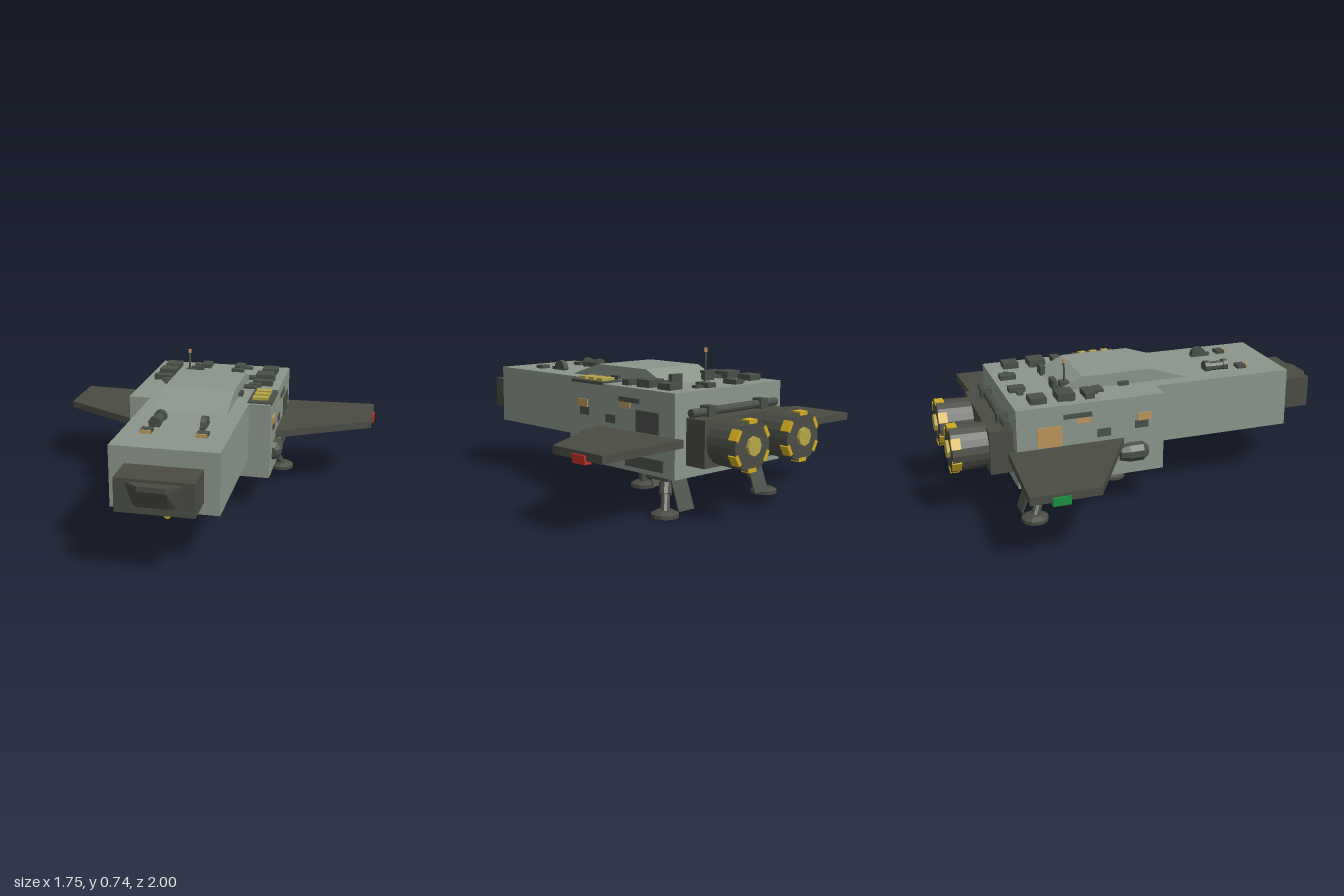
import * as THREE from 'three';
import { ConvexGeometry } from 'three/addons/geometries/ConvexGeometry.js';

const paint = (name, color) => {
  const m = new THREE.MeshStandardMaterial({ color, flatShading: true });
  m.name = name;
  return m;
};

export function createModel() {
  const hullGrey = paint('hull grey', 0x8a958a);
  const dark = paint('dark olive', 0x4a4c44);
  const equip = paint('equipment grey', 0x4a4f48);
  const gold = paint('gold', 0xd0aa20);
  const brass = paint('brass', 0xb5a548);
  const tan = paint('tan', 0xbc955c);
  const red = paint('red', 0xc43028);
  const green = paint('green', 0x189040);

  const model = new THREE.Group();
  model.name = 'shuttle';

  const add = (name, geo, mat, parent = model) => {
    const m = new THREE.Mesh(geo, mat);
    m.name = name;
    parent.add(m);
    return m;
  };
  // Box from its limits on each axis
  const box = (name, mat, x0, x1, y0, y1, z0, z1, parent) => {
    const g = new THREE.BoxGeometry(x1 - x0, y1 - y0, z1 - z0);
    g.translate((x0 + x1) / 2, (y0 + y1) / 2, (z0 + z1) / 2);
    return add(name, g, mat, parent);
  };
  // The same box on both sides
  const pair = (name, mat, x0, x1, ...rest) => {
    box(name + 'Left', mat, x0, x1, ...rest);
    box(name + 'Right', mat, -x1, -x0, ...rest);
  };
  // Cylinder running from a (radius ra) to b (radius rb)
  const rod = (name, mat, a, b, ra, rb = ra, sides = 10, parent) => {
    const p = new THREE.Vector3(...a), q = new THREE.Vector3(...b);
    const m = add(name, new THREE.CylinderGeometry(rb, ra, p.distanceTo(q), sides), mat, parent);
    m.position.copy(p).lerp(q, 0.5);
    m.quaternion.setFromUnitVectors(new THREE.Vector3(0, 1, 0), q.sub(p).normalize());
    return m;
  };

  // Hull
  box('rearHull', hullGrey, -0.373, 0.373, 0.185, 0.582, -0.695, 0.045);
  box('frontHull', hullGrey, -0.26, 0.26, 0.28, 0.582, 0.04, 0.78);
  box('nose', dark, -0.185, 0.185, 0.337, 0.5, 0.78, 0.955);
  const V = (x, y, z) => new THREE.Vector3(x, y, z);
  add('noseWedge', new ConvexGeometry([-1, 1].flatMap(s => [
    V(s * 0.14, 0.485, 0.95), V(s * 0.1, 0.37, 0.95),
    V(s * 0.065, 0.485, 1), V(s * 0.065, 0.46, 1), V(s * 0.065, 0.37, 0.958),
  ])), dark);

  // Canopy, a side profile extruded across the hull
  const profile = new THREE.Shape([[-0.25, 0.58], [0.45, 0.58], [0.31, 0.647], [-0.045, 0.647]]
    .map(p => new THREE.Vector2(...p)));
  const canopy = new THREE.ExtrudeGeometry(profile, { depth: 0.37, bevelEnabled: false });
  canopy.translate(0, 0, -0.185).rotateY(Math.PI / 2);
  add('canopy', canopy, hullGrey);

  // Wings with tip lights
  for (const s of [1, -1]) {
    const outline = new THREE.Shape([[0.36, 0.735], [0.865, 0.76], [0.865, 0.435], [0.36, 0.155]]
      .map(([x, y]) => new THREE.Vector2(s * x, y)));
    const wing = new THREE.ExtrudeGeometry(outline, { depth: 0.038, bevelEnabled: false });
    wing.rotateX(-Math.PI / 2).translate(0, 0.338, 0);
    add(s > 0 ? 'leftWing' : 'rightWing', wing, dark);
    const x = s * 0.855;
    box('wingTipLight', s > 0 ? red : green, x - 0.02, x + 0.02, 0.322, 0.362, -0.66, -0.578);
  }

  // Engine block, pipe and engines
  box('engineMount', dark, -0.3, 0.3, 0.245, 0.465, -0.81, -0.69);
  rod('crossPipe', equip, [-0.3, 0.487, -0.722], [0.3, 0.487, -0.722], 0.02);
  pair('pipeClamp', equip, 0.16, 0.21, 0.46, 0.515, -0.75, -0.69);
  for (const s of [1, -1]) {
    const engine = new THREE.Group();
    engine.name = s > 0 ? 'leftEngine' : 'rightEngine';
    engine.position.set(s * 0.18, 0.36, 0);
    model.add(engine);
    rod('engineBody', dark, [0, 0, -0.8], [0, 0, -0.985], 0.11, 0.117, 20, engine);
    rod('engineCore', brass, [0, 0, -0.98], [0, 0, -1], 0.045, 0.045, 8, engine);
    for (let i = 0; i < 6; i++) {
      const mark = box('rimMark', gold, -0.027, 0.027, 0.1, 0.119, -0.988, -0.943, engine);
      mark.rotation.z = i * Math.PI / 3;
    }
  }

  // Landing gear: mounting plate, leaning leg, round foot and slanted door
  const gear = (name, x, z, fx, fz, doorX) => {
    const g = new THREE.Group();
    g.name = name;
    model.add(g);
    box('gearPlate', equip, x - 0.06, x + 0.06, 0.16, 0.187, z - 0.073, z + 0.073, g);
    for (const s of [-1, 1])
      box('gearClamp', gold, x + s * 0.03 - 0.012, x + s * 0.03 + 0.012, 0.153, 0.162, z - 0.01, z + 0.055, g);
    rod('upperLeg', dark, [x, 0.17, z], [(x + fx) / 2, 0.09, (z + fz) / 2], 0.03, 0.03, 10, g);
    rod('lowerLeg', dark, [x, 0.17, z], [fx, 0.02, fz], 0.022, 0.022, 10, g);
    rod('foot', dark, [fx, 0, fz], [fx, 0.018, fz], 0.067, 0.067, 12, g);
    rod('footTop', dark, [fx, 0.018, fz], [fx, 0.032, fz], 0.067, 0.04, 12, g);
    const door = add('gearDoor', new THREE.BoxGeometry(0.1, 0.15, 0.008), equip, g);
    door.position.set(doorX, 0.095, z - 0.1);
    door.rotation.x = 0.36;
  };
  gear('frontGear', 0, -0.098, 0, -0.098, 0);
  gear('leftRearGear', 0.28, -0.545, 0.355, -0.617, 0.27);
  gear('rightRearGear', -0.28, -0.545, -0.355, -0.617, -0.27);

  // Belly gun
  box('gunMount', equip, -0.02, 0.02, 0.24, 0.285, 0.49, 0.545);
  box('gunBody', equip, -0.018, 0.018, 0.222, 0.252, 0.43, 0.56);
  rod('gunBarrel', equip, [0, 0.236, 0.5], [0, 0.236, 0.71], 0.015);
  rod('gunTip', gold, [0, 0.236, 0.705], [0, 0.236, 0.725], 0.019);

  // Roof equipment, mirrored
  const roof = 0.575;
  pair('rearRoofBox', equip, 0.24, 0.322, roof, 0.612, -0.61, -0.53);
  pair('ventBox', equip, 0.07, 0.125, roof, 0.605, -0.665, -0.585);
  pair('ventStub', equip, 0.12, 0.17, roof, 0.595, -0.635, -0.605);
  pair('conduitBox', equip, 0.225, 0.322, roof, 0.618, -0.475, -0.39);
  pair('conduitFoot', equip, 0.215, 0.33, roof, 0.598, -0.43, -0.4);
  pair('conduitArm', equip, 0.14, 0.23, roof, 0.6, -0.435, -0.4);
  pair('conduitEnd', equip, 0.08, 0.15, roof, 0.63, -0.455, -0.43);
  pair('stepBox', equip, 0.225, 0.33, roof, 0.61, -0.34, -0.295);
  pair('stepLink', equip, 0.205, 0.275, roof, 0.6, -0.3, -0.26);
  pair('stepEnd', equip, 0.18, 0.255, roof, 0.596, -0.265, -0.225);
  pair('canopyLatch', equip, 0.18, 0.205, roof, 0.602, -0.13, -0.075);

  // Antenna
  box('antennaBase', equip, -0.172, -0.128, roof, 0.625, -0.42, -0.375);
  rod('antennaPole', equip, [-0.15, 0.6, -0.395], [-0.15, 0.725, -0.395], 0.005, 0.005, 6);
  rod('antennaTip', tan, [-0.15, 0.718, -0.395], [-0.15, 0.738, -0.395], 0.009, 0.009, 8);

  // Striped roof panel on the left
  box('cellPanel', equip, 0.25, 0.376, roof, 0.59, -0.205, 0.028);
  for (const z of [-0.155, -0.092, -0.028])
    box('powerCell', brass, 0.27, 0.35, 0.585, 0.604, z - 0.019, z + 0.019);

  // Front deck equipment
  pair('deckBox', equip, 0.107, 0.162, roof, 0.6, 0.545, 0.592);
  pair('deckBoxFace', tan, 0.107, 0.162, roof, 0.599, 0.592, 0.601);
  rod('deckTank', equip, [-0.117, 0.598, 0.38], [-0.117, 0.598, 0.48], 0.026);
  for (const z of [0.368, 0.47])
    rod('deckTankBand', equip, [-0.117, 0.6, z], [-0.117, 0.6, z + 0.025], 0.032);
  rod('deckWheel', equip, [0.1, 0.592, 0.435], [0.13, 0.592, 0.435], 0.042, 0.042, 12);
  box('deckWheelBase', equip, 0.103, 0.127, roof, 0.598, 0.43, 0.5);

  // Side equipment, mirrored
  const sx = 0.37;
  pair('sidePanelFront', tan, sx, 0.379, 0.458, 0.496, -0.093, -0.02);
  pair('sideBoxFront', equip, sx, 0.378, 0.42, 0.458, -0.105, -0.037);
  pair('sideStrip', equip, sx, 0.38, 0.512, 0.535, -0.465, -0.325);
  pair('sidePanelMid', tan, sx, 0.378, 0.482, 0.512, -0.4, -0.33);
  pair('sideBoxMid', equip, sx, 0.378, 0.4, 0.44, -0.297, -0.23);
  pair('sideBoxLow', equip, sx, 0.378, 0.315, 0.36, -0.268, -0.2);
  pair('lowerSideBox', equip, sx, 0.38, 0.208, 0.264, -0.625, -0.372);
  box('leftHatch', equip, sx, 0.38, 0.38, 0.482, -0.597, -0.443);
  box('rightHatch', tan, -0.38, -sx, 0.38, 0.482, -0.597, -0.475);
  for (const s of [1, -1]) {
    const x = s * 0.368;
    rod('sideTank', equip, [x, 0.297, -0.07], [x, 0.297, -0.14], 0.052);
    rod('sideTankFront', equip, [x, 0.297, -0.07], [x, 0.297, -0.04], 0.052, 0.03);
    rod('sideTankRear', equip, [x, 0.297, -0.14], [x, 0.297, -0.185], 0.052, 0.04);
  }

  return model;
}
